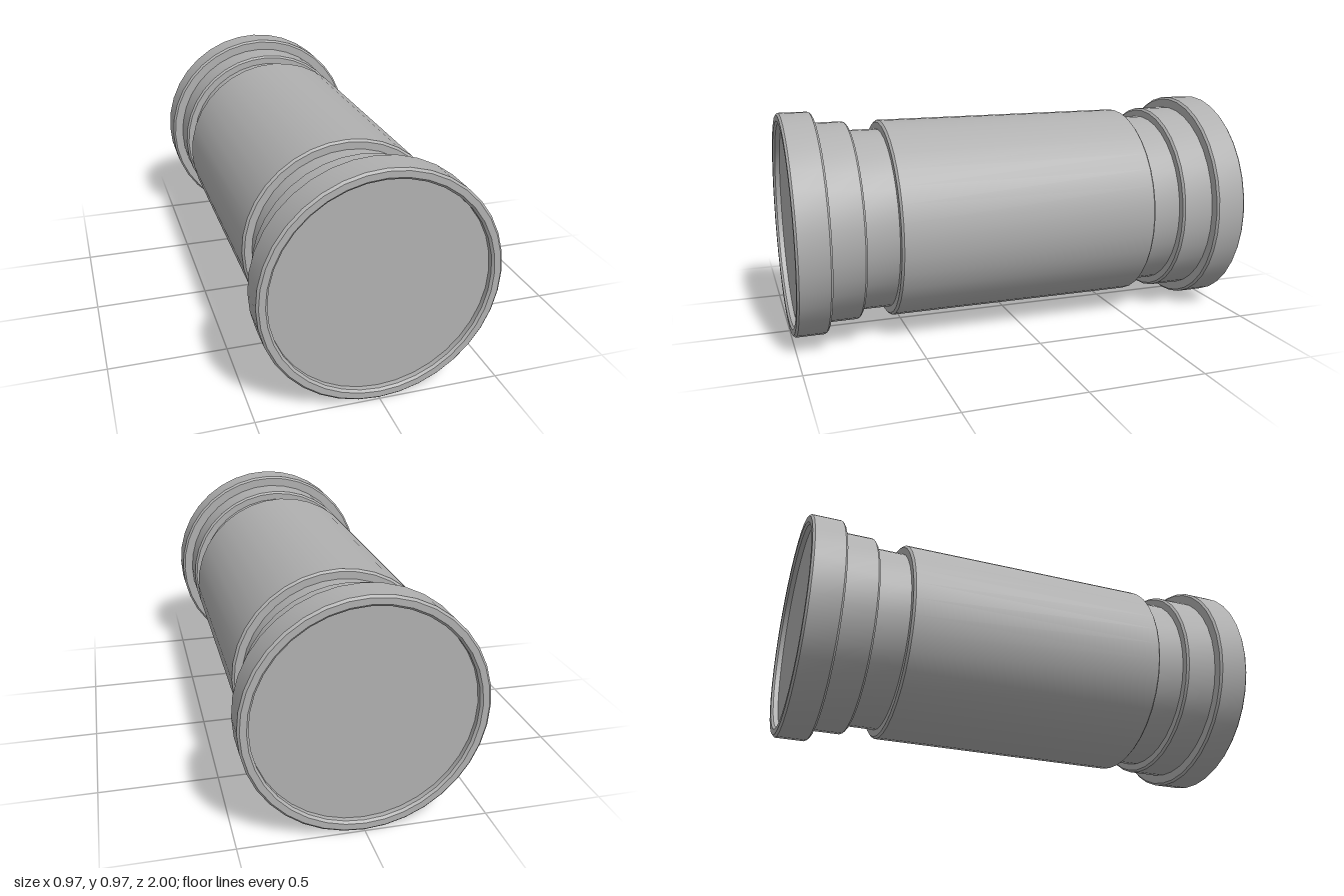
import * as THREE from 'three';
import { toCreasedNormals } from 'three/addons/utils/BufferGeometryUtils.js';

const SIDES = 36;
const RADIUS = 0.4845;

// Revolves a [radius, z] profile about the z axis, keeping chamfers crisp
function turned(name, profile, material) {
  const points = profile.map(([r, z]) => new THREE.Vector2(r, z));
  const geometry = new THREE.LatheGeometry(points, SIDES).rotateX(Math.PI / 2);
  const mesh = new THREE.Mesh(toCreasedNormals(geometry, Math.PI / 6), material);
  mesh.name = name;
  return mesh;
}

export function createModel() {
  const steel = new THREE.MeshStandardMaterial({ color: 0xb0b0b0 });
  steel.name = 'plain grey';

  const model = new THREE.Group();
  model.name = 'flangedCylinder';

  // Central barrel with chamfered ends
  model.add(turned('barrel', [
    [0.397, -0.574], [0.427, -0.574], [0.436, -0.565],
    [0.436, 0.565], [0.427, 0.574], [0.397, 0.574],
  ], steel));

  // Matching groove, collar, rim and recessed cap at each end
  for (const [name, turn] of [['frontEnd', 0], ['backEnd', Math.PI]]) {
    const end = new THREE.Group();
    end.name = name;
    end.add(
      turned('groove', [[0.397, 0.574], [0.397, 0.713]], steel),
      turned('collar', [
        [0.397, 0.713], [0.427, 0.713], [0.436, 0.722], [0.436, 0.858],
      ], steel),
      turned('rim', [
        [0.436, 0.858], [0.4755, 0.858], [RADIUS, 0.867], [RADIUS, 0.991],
        [0.4755, 1], [0.45, 1], [0.441, 0.991], [0.441, 0.97],
      ], steel),
    );
    const cap = new THREE.Mesh(new THREE.CircleGeometry(0.441, SIDES), steel);
    cap.name = 'cap';
    cap.position.z = 0.97;
    end.add(cap);
    end.rotation.y = turn;
    model.add(end);
  }

  model.position.y = RADIUS;
  return model;
}
